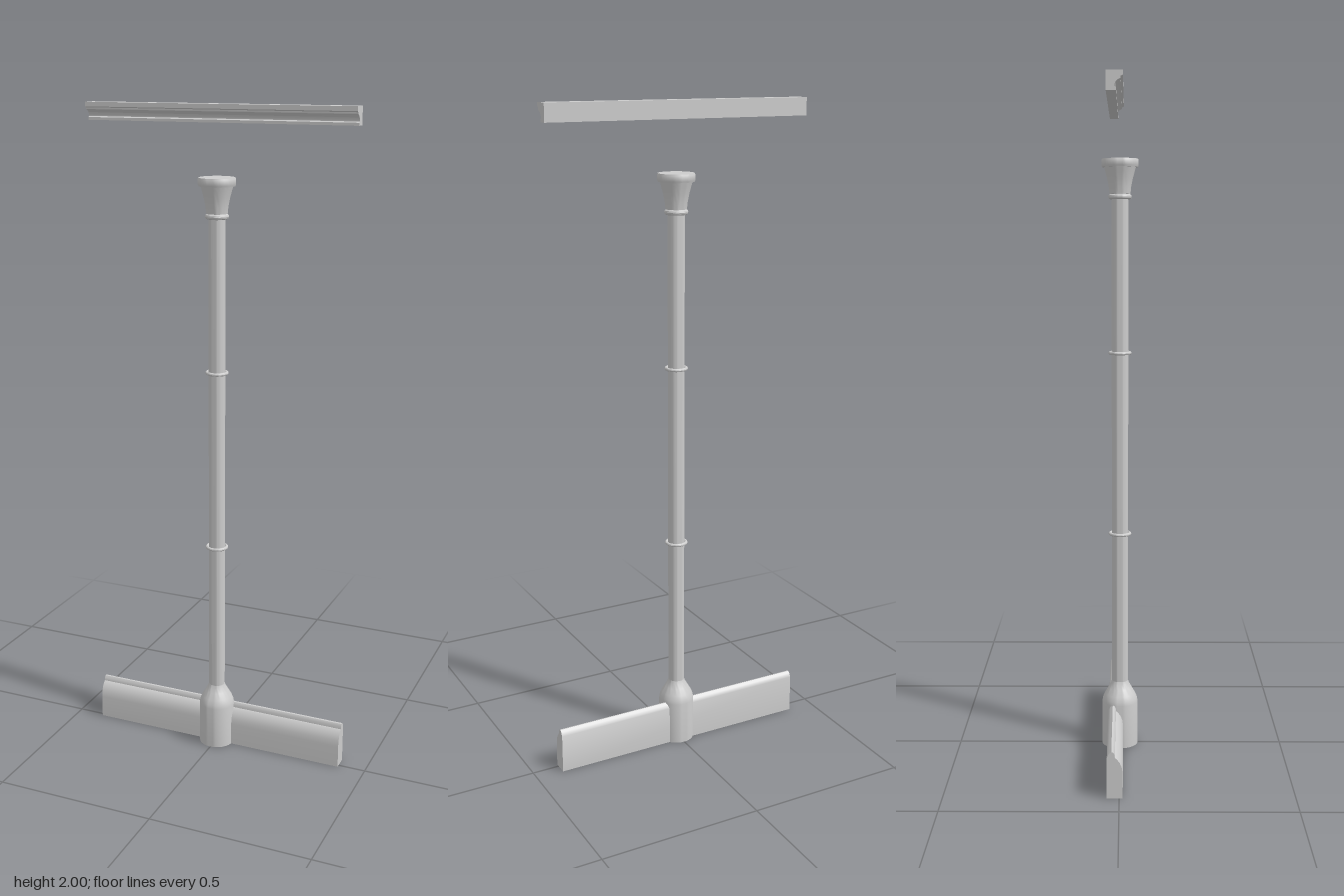
import * as THREE from 'three';
import { toCreasedNormals } from 'three/addons/utils/BufferGeometryUtils.js';

const LENGTH = 0.83;

export function createModel() {
  const group = new THREE.Group();
  const plaster = new THREE.MeshStandardMaterial({ color: 0xcccccc });
  plaster.name = 'plaster grey';

  const add = (name, geometry) => {
    const mesh = new THREE.Mesh(toCreasedNormals(geometry, 0.6), plaster);
    mesh.name = name;
    group.add(mesh);
  };

  // Turned part from [radius, height] pairs, bottom to top
  const turned = (name, profile) =>
    add(name, new THREE.LatheGeometry(profile.map(([r, y]) => new THREE.Vector2(r, y)), 40));

  // Straight moulding from a cross-section of [z, y] pairs, run along x
  const moulding = (name, section) => {
    const shape = new THREE.Shape(section.map(([z, y]) => new THREE.Vector2(-z, y)));
    const geometry = new THREE.ExtrudeGeometry(shape, { depth: LENGTH, bevelEnabled: false });
    geometry.translate(0, 0, -LENGTH / 2);
    geometry.rotateY(Math.PI / 2);
    add(name, geometry);
  };

  // Wall mouldings
  moulding('baseboard', [
    [-0.035, 0], [0.01, 0], [0.01, 0.07], [0.008, 0.09], [0.002, 0.105], [-0.008, 0.118],
    [-0.012, 0.12], [-0.013, 0.13], [-0.017, 0.136], [-0.022, 0.137], [-0.029, 0.132], [-0.035, 0.12],
  ]);
  moulding('crownMoulding', [
    [-0.035, 1.948], [-0.008, 1.948], [-0.008, 1.956], [-0.013, 1.959], [-0.013, 1.963],
    [-0.009, 1.97], [-0.003, 1.976], [0.004, 1.979], [0.004, 1.984], [0.01, 1.987],
    [0.01, 2], [-0.035, 2],
  ]);

  // Column
  turned('columnBase', [
    [0, 0], [0.055, 0], [0.055, 0.135], [0.053, 0.147], [0.047, 0.161],
    [0.036, 0.18], [0.028, 0.194], [0.025, 0.203], [0, 0.203],
  ]);
  turned('columnShaft', [[0, 0.19], [0.025, 0.19], [0.025, 1.71], [0, 1.71]]);
  turned('capital', [
    [0, 1.695], [0.031, 1.695], [0.033, 1.715], [0.038, 1.74], [0.044, 1.762],
    [0.047, 1.773], [0.053, 1.773], [0.055, 1.777], [0.055, 1.793], [0.053, 1.797], [0, 1.797],
  ]);

  // Rings round the shaft
  [['lowerRing', 0.67, 0.005], ['upperRing', 1.225, 0.005], ['neckRing', 1.687, 0.008]].forEach(([name, y, tube]) => {
    const geometry = new THREE.TorusGeometry(0.035 - tube, tube, 10, 40);
    geometry.rotateX(Math.PI / 2);
    geometry.translate(0, y, 0);
    add(name, geometry);
  });

  return group;
}
